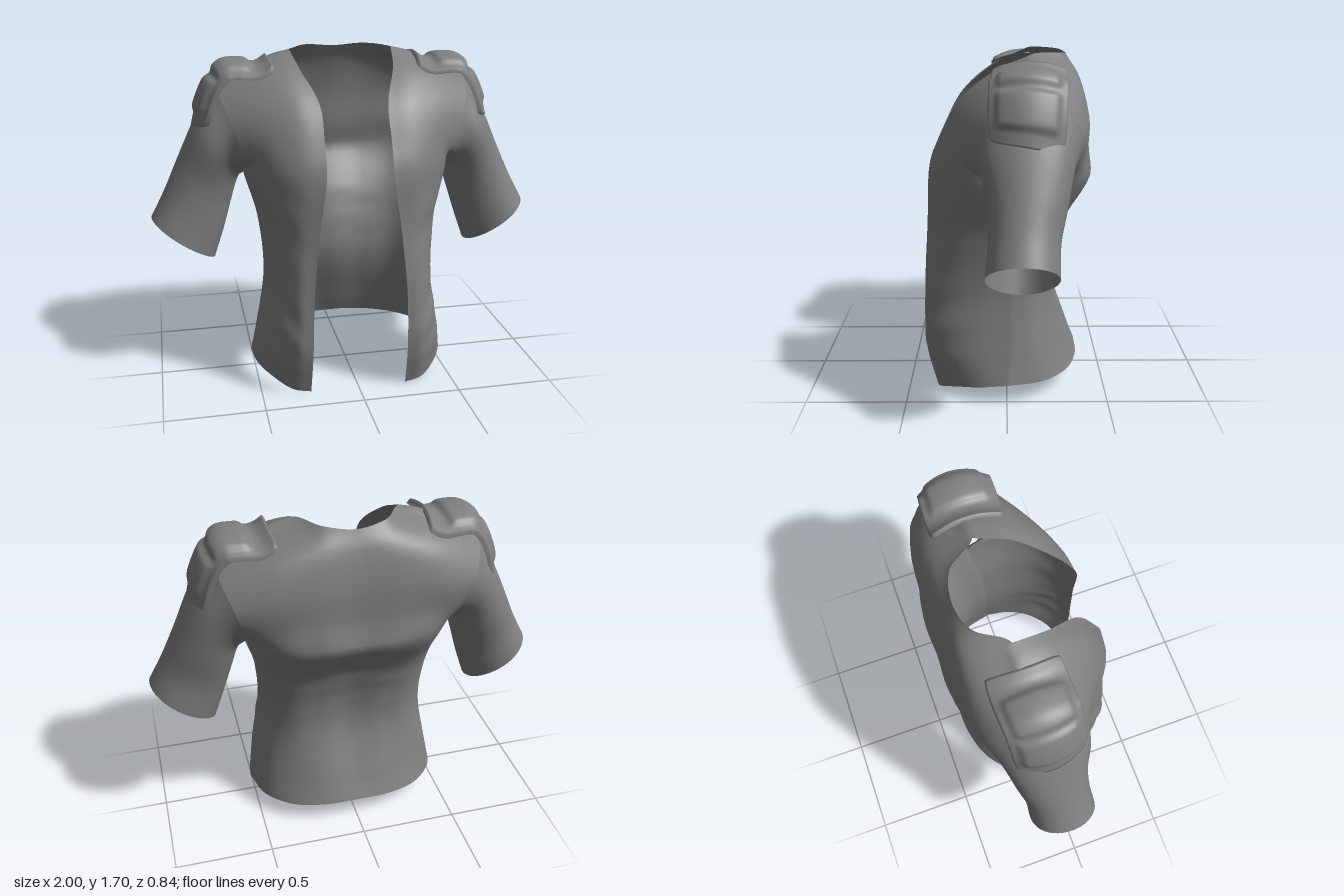
import * as THREE from 'three';
import { mergeGeometries, mergeVertices } from 'three/addons/utils/BufferGeometryUtils.js';

const cloth = new THREE.MeshStandardMaterial({ color: 0x7f7f7f, side: THREE.DoubleSide });
const STEP = 6;      // samples per control row
const COLS = 24;     // samples across a front panel; half a back panel has twice as many
const ARMPIT = 4;    // control row at which the armhole begins

// Half-panel control rows, hem to shoulder; each row runs from the middle to the side
const FRONT = [
  [[.25, 0, .36], [.34, .015, .345], [.44, .055, .25], [.5, .078, .13], [.52, .095, 0]],
  [[.245, .24, .415], [.32, .24, .405], [.42, .24, .31], [.475, .24, .16], [.485, .24, -.02]],
  [[.235, .55, .415], [.31, .55, .395], [.39, .55, .285], [.432, .55, .13], [.437, .55, -.02]],
  [[.205, .85, .40], [.30, .85, .365], [.40, .85, .26], [.45, .85, .11], [.46, .85, -.04]],
  [[.165, 1.15, .385], [.29, 1.14, .365], [.42, 1.13, .28], [.495, 1.1, .15], [.52, 1.07, -.08]],
  [[.165, 1.27, .34], [.28, 1.27, .33], [.40, 1.26, .28], [.475, 1.23, .22], [.53, 1.19, .16]],
  [[.168, 1.46, .235], [.28, 1.46, .235], [.40, 1.44, .205], [.5, 1.4, .175], [.58, 1.35, .145]],
  [[.235, 1.61, .06], [.31, 1.605, .065], [.41, 1.585, .055], [.52, 1.54, .045], [.63, 1.48, .035]],
  [[.265, 1.69, -.115], [.35, 1.67, -.12], [.45, 1.63, -.12], [.56, 1.6, -.11], [.66, 1.55, -.1]],
];
const BACK = [
  [[0, .115, -.37], [.17, .11, -.36], [.34, .1, -.30], [.47, .095, -.17], [.52, .095, 0]],
  [[0, .24, -.315], [.16, .24, -.315], [.32, .24, -.26], [.445, .24, -.155], [.485, .24, -.02]],
  [[0, .55, -.215], [.16, .55, -.23], [.30, .55, -.21], [.40, .55, -.13], [.437, .55, -.02]],
  [[0, .87, -.28], [.17, .87, -.29], [.32, .87, -.265], [.42, .86, -.18], [.46, .85, -.04]],
  [[0, 1.1, -.405], [.18, 1.1, -.415], [.36, 1.1, -.38], [.47, 1.09, -.27], [.52, 1.07, -.08]],
  [[0, 1.25, -.395], [.2, 1.25, -.405], [.37, 1.24, -.385], [.48, 1.2, -.345], [.53, 1.18, -.3]],
  [[0, 1.42, -.385], [.2, 1.42, -.395], [.38, 1.4, -.39], [.48, 1.37, -.375], [.58, 1.34, -.35]],
  [[0, 1.59, -.345], [.17, 1.6, -.345], [.35, 1.57, -.325], [.5, 1.52, -.295], [.63, 1.47, -.26]],
  [[0, 1.678, -.3], [.15, 1.692, -.26], [.265, 1.69, -.115], [.45, 1.63, -.12], [.66, 1.55, -.1]],
];

const curve = pts => new THREE.CatmullRomCurve3(pts);
const sample = (pts, n) => curve(pts).getPoints(n);
const bell = (v, mid, width) => Math.exp(-(((v - mid) / width) ** 2));
const mirror = p => new THREE.Vector3(-p.x, p.y, p.z);
const mirrorPoints = grid => grid.map(row => row.map(mirror));

// Smooth grid of points through the control rows, given a way to sample one row
function panelPoints(rows, sampleRow) {
  const n = (rows.length - 1) * STEP;
  const columns = rows[0].map((_, c) => sample(rows.map(r => new THREE.Vector3(...r[c])), n));
  return Array.from({ length: n + 1 }, (_, i) => sampleRow(columns.map(col => col[i])));
}

// The back row is sampled together with its mirror image, to run smoothly over the spine
const sampleBackRow = row =>
  sample([...row.slice(1).reverse().map(mirror), ...row], 4 * COLS).slice(2 * COLS);

function gridGeometry(points, flip = false) {
  const w = points[0].length, index = [];
  for (let i = 0; i < points.length - 1; i++) {
    for (let j = 0; j < w - 1; j++) {
      const a = i * w + j, b = a + 1, c = a + w, d = c + 1;
      index.push(...(flip ? [a, d, b, a, c, d] : [a, b, d, a, d, c]));
    }
  }
  return new THREE.BufferGeometry().setFromPoints(points.flat()).setIndex(index);
}

// Weld the pieces so that shading runs smoothly across their seams
function smoothMesh(name, geometries) {
  const geometry = mergeVertices(mergeGeometries(geometries), 1e-4);
  geometry.computeVertexNormals();
  const mesh = new THREE.Mesh(geometry, cloth);
  mesh.name = name;
  return mesh;
}

function torsoPanels() {
  const front = panelPoints(FRONT, row => sample(row, COLS));
  const back = panelPoints(BACK, sampleBackRow);
  // Cloth folds at the belly, the ribs and the small of the back
  front.flat().forEach(p => {
    const fold = .01 * Math.sin(30 * p.y - 24 * p.x) * bell(p.y, .36, .15) * bell(p.x, .38, .07)
      + .006 * Math.sin(26 * p.y - 12 * p.x) * bell(p.y, .9, .15) * bell(p.x, .36, .08);
    p.z += fold;
    p.x += fold * .4;
  });
  back.flat().forEach(p => {
    p.z -= .007 * Math.sin(48 * p.y + 9 * p.x) * bell(p.y, .75, .14) * bell(p.x, .1, .25)
      + .012 * bell(p.y, 1.1, .04) * bell(p.x, 0, .22);
  });
  // Shared side seam and shoulder seam
  for (let i = 0; i <= ARMPIT * STEP; i++) back[i][2 * COLS] = front[i][COLS].clone();
  front.at(-1).forEach((p, j) => { back.at(-1)[COLS + j] = p.clone(); });
  return { front, back };
}

function sleevePoints({ front, back }) {
  // Armhole loop: armpit, up the front, over the shoulder, down the back
  const edge = panel => panel.slice(ARMPIT * STEP).map(row => row.at(-1));
  const armhole = [...edge(front), ...edge(back).reverse().slice(1)];
  // Rings: outer x, y, inner x, y, middle z, half depth
  const rings = [
    [.755, 1.36, .55, 1.05, -.09, .213],
    [.855, 1.15, .585, .94, -.09, .18],
    [.93, .99, .63, .79, -.075, .162],
    [1.0, .86, .685, .63, -.067, .166],
  ];
  const last = armhole.length - 1;
  const strands = armhole.map((start, k) => {
    const t = (k % last) / last * Math.PI * 2, c = Math.cos(t), s = Math.sin(t);
    // Each ring is slightly egg-shaped, narrower on the inside of the arm
    return sample([start, ...rings.map(([ox, oy, ix, iy, z, r]) => new THREE.Vector3(
      (ox + ix) / 2 + c * (ix - ox) / 2,
      (oy + iy) / 2 + c * (iy - oy) / 2,
      z + r * s * (1 - .12 * c)))], 24);
  });
  return strands[0].map((_, i) => strands.map(s => s[i]));
}

function padPoints() {
  const path = curve([[.385, 1.67], [.44, 1.638], [.53, 1.645], [.61, 1.637], [.68, 1.572], [.74, 1.455], [.774, 1.33]]
    .map(([x, y]) => new THREE.Vector3(x, y, 0)));
  const nu = 64, nv = 40, { smoothstep, clamp } = THREE.MathUtils;
  // Raised band between two limits, with soft shoulders
  const raised = (v, lo, hi, soft) => smoothstep(v, lo, lo + soft) * (1 - smoothstep(v, hi - soft, hi));
  const points = [];
  for (let i = 0; i <= nu; i++) {
    const row = [];
    for (let j = 0; j <= nv; j++) {
      // The outermost ring repeats its neighbour, dropped to form the rim wall
      const s0 = clamp((i - 1) / (nu - 2), 0, 1) * 2 - 1;
      const w0 = clamp((j - 1) / (nv - 2), 0, 1) * 2 - 1;
      // Rounded corners
      const s = s0 * (1 - .05 * w0 ** 8), w = w0 * (1 - .07 * s0 ** 8);
      const u = (s + 1) / 2;
      const p = path.getPointAt(u), tan = path.getTangentAt(u);
      const wall = i === 0 || j === 0 || i === nu || j === nv;
      // Flange with two cushions, one on the shoulder and one on the arm
      const cushion = raised(w, -.86, .86, .16)
        * (.016 * raised(u, .14, .53, .07) + .014 * raised(u, .53, .9, .07));
      const h = (wall ? -.022 : cushion) - (.045 + .015 * u) * w * w;
      // The lower edge slants down towards the back
      p.addScaledVector(tan, -.03 * w * u * u);
      row.push(new THREE.Vector3(p.x - tan.y * h, p.y + tan.x * h, -.105 + .02 * u + (.185 - .012 * u) * w));
    }
    points.push(row);
  }
  return points;
}

export function createModel() {
  const group = new THREE.Group();
  group.name = 'openJacket';
  const panels = torsoPanels();
  const { front, back } = panels;

  group.add(smoothMesh('torso', [
    gridGeometry(front), gridGeometry(back, true),
    gridGeometry(mirrorPoints(front), true), gridGeometry(mirrorPoints(back)),
  ]));

  const sleeve = sleevePoints(panels), pad = padPoints();
  group.add(
    smoothMesh('leftSleeve', [gridGeometry(sleeve, true)]),
    smoothMesh('rightSleeve', [gridGeometry(mirrorPoints(sleeve))]),
    smoothMesh('leftShoulderPad', [gridGeometry(pad)]),
    smoothMesh('rightShoulderPad', [gridGeometry(mirrorPoints(pad), true)]),
  );
  return group;
}
